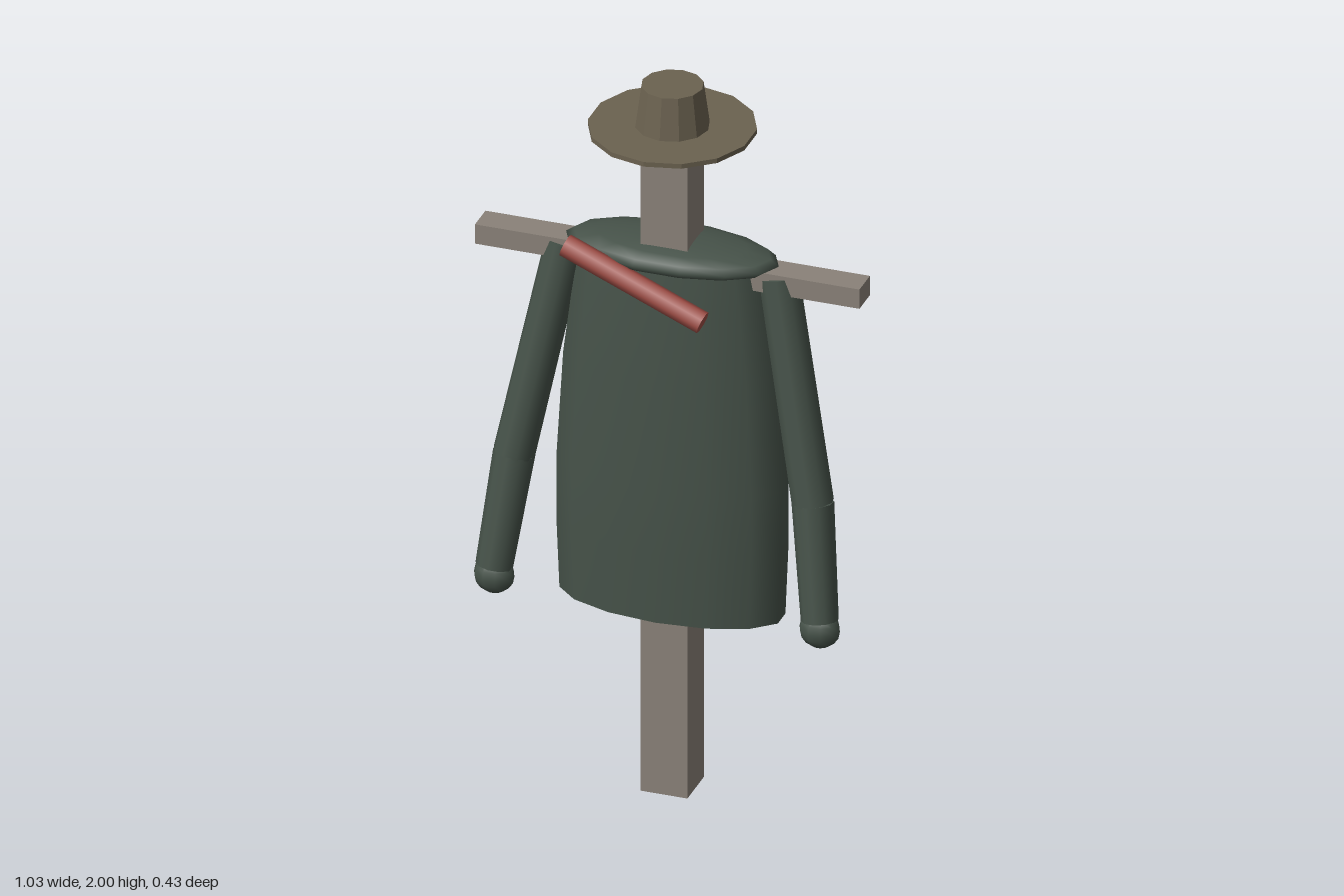
import * as THREE from 'three';

const WOOD = new THREE.MeshStandardMaterial({ color: 0x8a8279, flatShading: true });
const FELT = new THREE.MeshStandardMaterial({ color: 0x6b6250, flatShading: true });
const CLOTH = new THREE.MeshStandardMaterial({ color: 0x465249 });
const RED = new THREE.MeshStandardMaterial({ color: 0xa04e46 });

function add(parent, name, geometry, material, x = 0, y = 0, z = 0) {
  const mesh = new THREE.Mesh(geometry, material);
  mesh.name = name;
  mesh.position.set(x, y, z);
  parent.add(mesh);
  return mesh;
}

// Tapered round limb running from point a to point b
function limb(parent, name, a, b, ra, rb, sides, material) {
  const from = new THREE.Vector3(...a);
  const dir = new THREE.Vector3(...b).sub(from);
  const geometry = new THREE.CylinderGeometry(rb, ra, dir.length(), sides);
  const mesh = add(parent, name, geometry, material);
  mesh.position.copy(from).addScaledVector(dir, 0.5);
  mesh.quaternion.setFromUnitVectors(new THREE.Vector3(0, 1, 0), dir.normalize());
  return mesh;
}

export function createModel() {
  const model = new THREE.Group();
  model.name = 'scarecrow';

  // Wooden frame
  add(model, 'post', new THREE.BoxGeometry(0.125, 1.88, 0.125), WOOD, 0, 0.94, 0);
  add(model, 'crossbar', new THREE.BoxGeometry(1.03, 0.055, 0.078), WOOD, 0, 1.498, 0);

  // Coat: flattened lathe, with a flat hem underneath
  const profile = [[0.3, 0.525], [0.308, 0.72], [0.308, 0.9], [0.29, 1.2], [0.262, 1.42], [0.245, 1.51]]
    .map(([r, y]) => new THREE.Vector2(r, y));
  const coat = add(model, 'coat', new THREE.LatheGeometry(profile, 14), CLOTH);
  coat.scale.z = 0.43;
  const hem = add(model, 'hem', new THREE.CircleGeometry(0.3, 14), CLOTH, 0, 0.525, 0);
  hem.rotation.x = Math.PI / 2;
  hem.scale.y = 0.43;

  // Padded collar over the shoulders
  const collar = add(model, 'collar', new THREE.SphereGeometry(1, 14, 8), CLOTH, 0, 1.53, 0);
  collar.scale.set(0.285, 0.041, 0.128);

  // Sleeves with stuffed hands
  for (const [side, s] of [['left', 1], ['right', -1]]) {
    const arm = new THREE.Group();
    arm.name = side + 'Arm';
    const shoulder = [s * 0.285, 1.505, 0];
    const elbow = [s * 0.4, 0.91, 0.066];
    const wrist = [s * 0.436, 0.605, 0.115];
    limb(arm, 'upperSleeve', shoulder, elbow, 0.052, 0.054, 10, CLOTH);
    limb(arm, 'lowerSleeve', elbow, wrist, 0.054, 0.048, 10, CLOTH);
    const hand = add(arm, 'hand', new THREE.SphereGeometry(0.054, 10, 8), CLOTH, s * 0.436, 0.58, 0.115);
    hand.scale.set(1, 0.95, 0.8);
    model.add(arm);
  }

  // Scarf slanting across the chest
  limb(model, 'scarf', [-0.245, 1.555, 0.117], [0.13, 1.41, 0.137], 0.03, 0.03, 8, RED);

  // Hat
  const hat = new THREE.Group();
  hat.name = 'hat';
  add(hat, 'brim', new THREE.CylinderGeometry(0.215, 0.215, 0.013, 14), FELT, 0, 1.879, 0);
  add(hat, 'crown', new THREE.CylinderGeometry(0.08, 0.096, 0.118, 12), FELT, 0, 1.941, 0);
  model.add(hat);

  return model;
}
